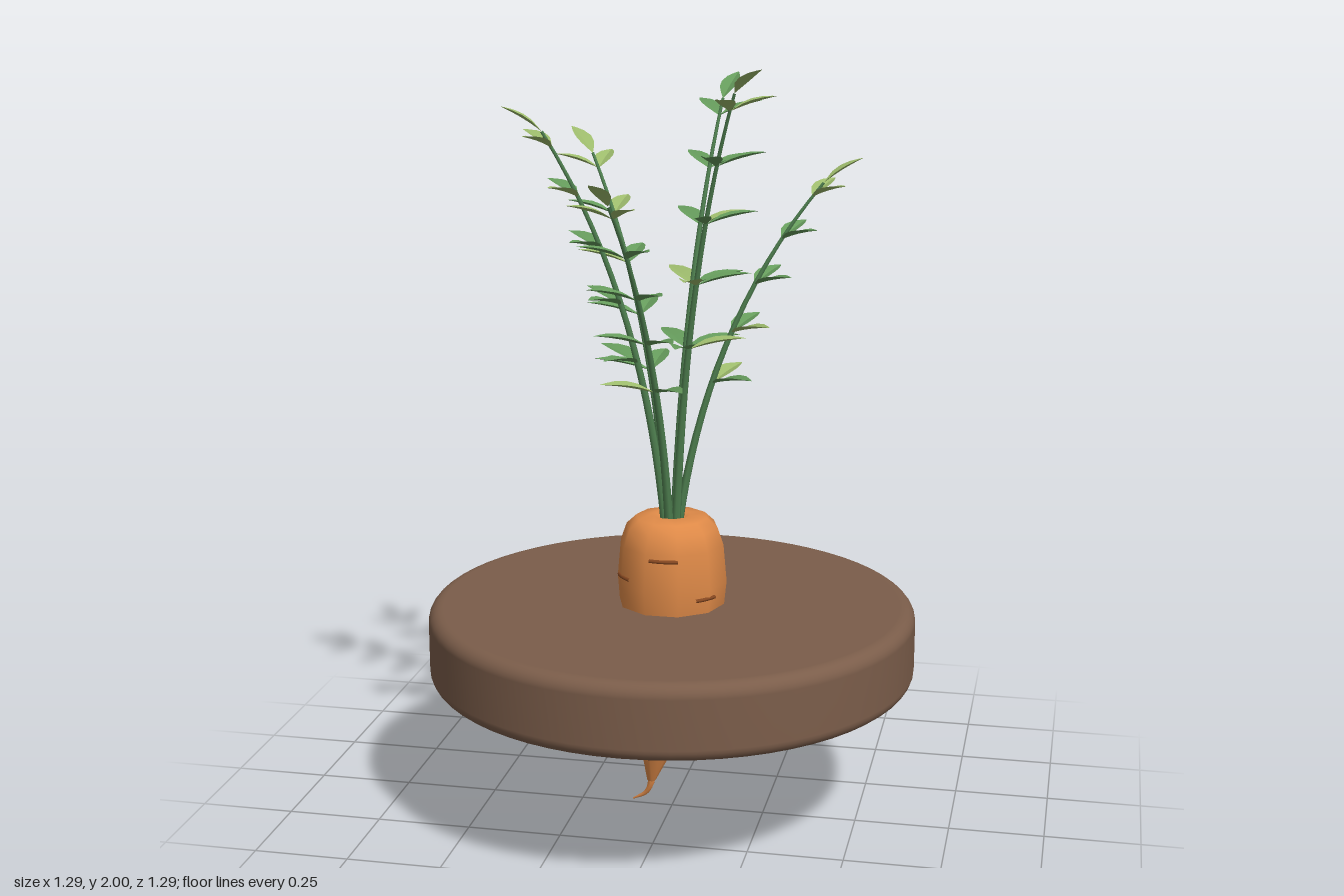
import * as THREE from 'three';
import { mergeVertices } from 'three/addons/utils/BufferGeometryUtils.js';

const mat = (name, color, side = THREE.FrontSide) => {
  const m = new THREE.MeshStandardMaterial({ color, side });
  m.name = name;
  return m;
};

const V = (x, y, z) => new THREE.Vector3(x, y, z);

// Root profile from the tip up to the dimpled crown: [radius, y]
const PROFILE = [[0, 0.062], [0.012, 0.07], [0.058, 0.2], [0.101, 0.39], [0.137, 0.54], [0.147, 0.65],
  [0.138, 0.75], [0.122, 0.795], [0.095, 0.82], [0.05, 0.826], [0.03, 0.812], [0, 0.808]];

// Sideways bend of the root towards its tip
const bend = (y) => -0.057 * Math.pow(Math.max(0, 0.6 - y) / 0.53, 1.7);

function rootRadius(y) {
  const i = PROFILE.findIndex((p) => p[1] > y);
  const [a, b] = [PROFILE[i - 1], PROFILE[i]];
  return THREE.MathUtils.lerp(a[0], b[0], (y - a[1]) / (b[1] - a[1]));
}

function rootGeometry() {
  const g = new THREE.LatheGeometry(PROFILE.map(([r, y]) => new THREE.Vector2(r, y)), 10);
  g.rotateY(Math.PI / 2);
  g.deleteAttribute('uv');
  g.deleteAttribute('normal');
  const p = g.attributes.position;
  for (let i = 0; i < p.count; i++) p.setX(i, p.getX(i) + bend(p.getY(i)));
  const m = mergeVertices(g, 1e-4);
  m.computeVertexNormals();
  return m;
}

// Tube whose radius runs from r0 to r1
function taperedTube(curve, r0, r1, segments, sides) {
  const g = new THREE.TubeGeometry(curve, segments, 1, sides);
  const p = g.attributes.position;
  const v = V(0, 0, 0);
  for (let i = 0; i < p.count; i++) {
    const t = Math.floor(i / (sides + 1)) / segments;
    const c = curve.getPointAt(t);
    v.fromBufferAttribute(p, i).sub(c).multiplyScalar(THREE.MathUtils.lerp(r0, r1, t)).add(c);
    p.setXYZ(i, v.x, v.y, v.z);
  }
  return g;
}

// Unit leaf along +z, folded on its midrib, with a slightly arched tip
function leafGeometry() {
  const rows = [[0, 0], [0.12, 0.4], [0.3, 0.88], [0.5, 1], [0.72, 0.74], [0.9, 0.3], [1, 0]];
  const mid = ([u]) => [0, 0.12 * u * (1 - u), u];
  const rim = ([u, w], s) => [s * 0.2 * w, 0.12 * u * (1 - u) + 0.07 * w, u];
  const pos = [];
  for (let i = 0; i < rows.length - 1; i++) {
    for (const s of [1, -1]) {
      const [a, b, c, d] = [mid(rows[i]), mid(rows[i + 1]), rim(rows[i + 1], s), rim(rows[i], s)];
      const quad = s > 0 ? [a, b, c, a, c, d] : [a, c, b, a, d, c];
      quad.forEach((q) => pos.push(...q));
    }
  }
  const g = new THREE.BufferGeometry();
  g.setAttribute('position', new THREE.Float32BufferAttribute(pos, 3));
  g.computeVertexNormals();
  return g;
}

export function createModel() {
  const model = new THREE.Group();
  model.name = 'carrotInSoil';

  const soil = mat('soil brown', 0x7b5d4a);
  const orange = mat('carrot orange', 0xdf8a48);
  const crease = mat('crease brown', 0x8a4a22);
  const stemGreen = mat('stem green', 0x4f8050);
  const leafGreen = mat('leaf green', 0x669c5c, THREE.DoubleSide);
  const lightGreen = mat('light leaf green', 0x9dbb6c, THREE.DoubleSide);

  const add = (parent, name, geometry, material) => {
    const m = new THREE.Mesh(geometry, material);
    m.name = name;
    parent.add(m);
    return m;
  };

  // Soil disc with rounded rims
  const R = 0.643, e = 0.035, y0 = 0.388, y1 = 0.587;
  const disc = [new THREE.Vector2(0, y0), new THREE.Vector2(R - e - 0.004, y0)];
  for (const [cy, start] of [[y0 + e, -Math.PI / 2], [y1 - e, 0]]) {
    for (let i = 0; i <= 6; i++) {
      const a = start + (i / 6) * Math.PI / 2;
      disc.push(new THREE.Vector2(R - e + e * Math.cos(a), cy + e * Math.sin(a)));
    }
  }
  disc.push(new THREE.Vector2(R - e - 0.004, y1), new THREE.Vector2(0, y1));
  add(model, 'soilDisc', new THREE.LatheGeometry(disc, 64), soil);

  // Carrot root and its thin tail
  add(model, 'carrotRoot', rootGeometry(), orange);
  const tail = new THREE.CatmullRomCurve3([V(-0.055, 0.085, 0), V(-0.06, 0.055, -0.003),
    V(-0.076, 0.026, -0.01), V(-0.112, 0.002, -0.02)]);
  add(model, 'rootTail', taperedTube(tail, 0.012, 0.002, 12, 6), orange);

  // Short creases wrapped on the skin: [angle from +x towards +z, y, half span]
  for (const [deg, y, half] of [[88, 0.735, 16], [142, 0.672, 13], [40, 0.627, 13], [-44, 0.687, 12]]) {
    const pts = [];
    for (let i = -2; i <= 2; i++) {
      const a = THREE.MathUtils.degToRad(deg + (half * i) / 2);
      const r = rootRadius(y) * 0.985;
      pts.push(V(r * Math.cos(a), y, r * Math.sin(a)));
    }
    add(model, 'skinCrease', new THREE.TubeGeometry(new THREE.CatmullRomCurve3(pts), 8, 0.005, 5), crease);
  }

  // Fronds: tip position of each
  const tips = [[0.47, 1.755, -0.135], [0.1, 1.945, -0.4], [-0.34, 1.8, -0.315],
    [-0.415, 1.89, 0.11], [-0.105, 1.745, 0.455], [0.265, 2.0, 0.225]];
  const leafShape = leafGeometry();
  const up = V(0, 1, 0);

  tips.forEach(([tx, ty, tz], f) => {
    const frond = new THREE.Group();
    frond.name = 'frond';
    model.add(frond);
    const out = V(tx, 0, tz).normalize();
    const lateral = V(0, 0, 0).crossVectors(up, out);
    const at = (r, y) => out.clone().multiplyScalar(r).setY(y);

    const tipLength = 0.12;
    const tipDir = out.clone().multiplyScalar(0.85).setY(0.52).normalize();
    const end = V(tx, ty, tz).addScaledVector(tipDir, -tipLength);
    const rEnd = Math.hypot(end.x, end.z);
    const stem = new THREE.QuadraticBezierCurve3(at(0.018, 0.8), at(0.24 * rEnd, 0.82 + 0.6 * (end.y - 0.82)), end);
    add(frond, 'stem', taperedTube(stem, 0.012, 0.004, 16, 6), stemGreen);

    const addLeaf = (p, dir, length, light) => {
      const leaf = add(frond, 'leaf', leafShape, light ? lightGreen : leafGreen);
      const d = dir.clone().normalize();
      const w = V(0, 0, 0).crossVectors(up, d).normalize();
      leaf.quaternion.setFromRotationMatrix(new THREE.Matrix4().makeBasis(w, V(0, 0, 0).crossVectors(d, w), d));
      leaf.position.copy(p);
      leaf.scale.setScalar(length);
    };

    // Five pairs of leaves, then one at the tip
    for (let i = 0; i < 5; i++) {
      const p = stem.getPoint(0.37 + 0.145 * i);
      for (const s of [1, -1]) {
        const dir = out.clone().multiplyScalar(0.62).addScaledVector(lateral, 0.78 * s).setY(0);
        dir.x = out.x * 0.62 + lateral.x * 0.78 * s;
        dir.z = out.z * 0.62 + lateral.z * 0.78 * s;
        dir.y = 0.2 + 0.03 * i;
        addLeaf(p, dir, 0.15 - 0.007 * i, (f * 3 + i * 2 + (s > 0 ? 0 : 3)) % 5 === 0 || (i === 4 && f !== 1));
      }
    }
    addLeaf(end, tipDir, tipLength, f !== 1);
  });

  return model;
}
